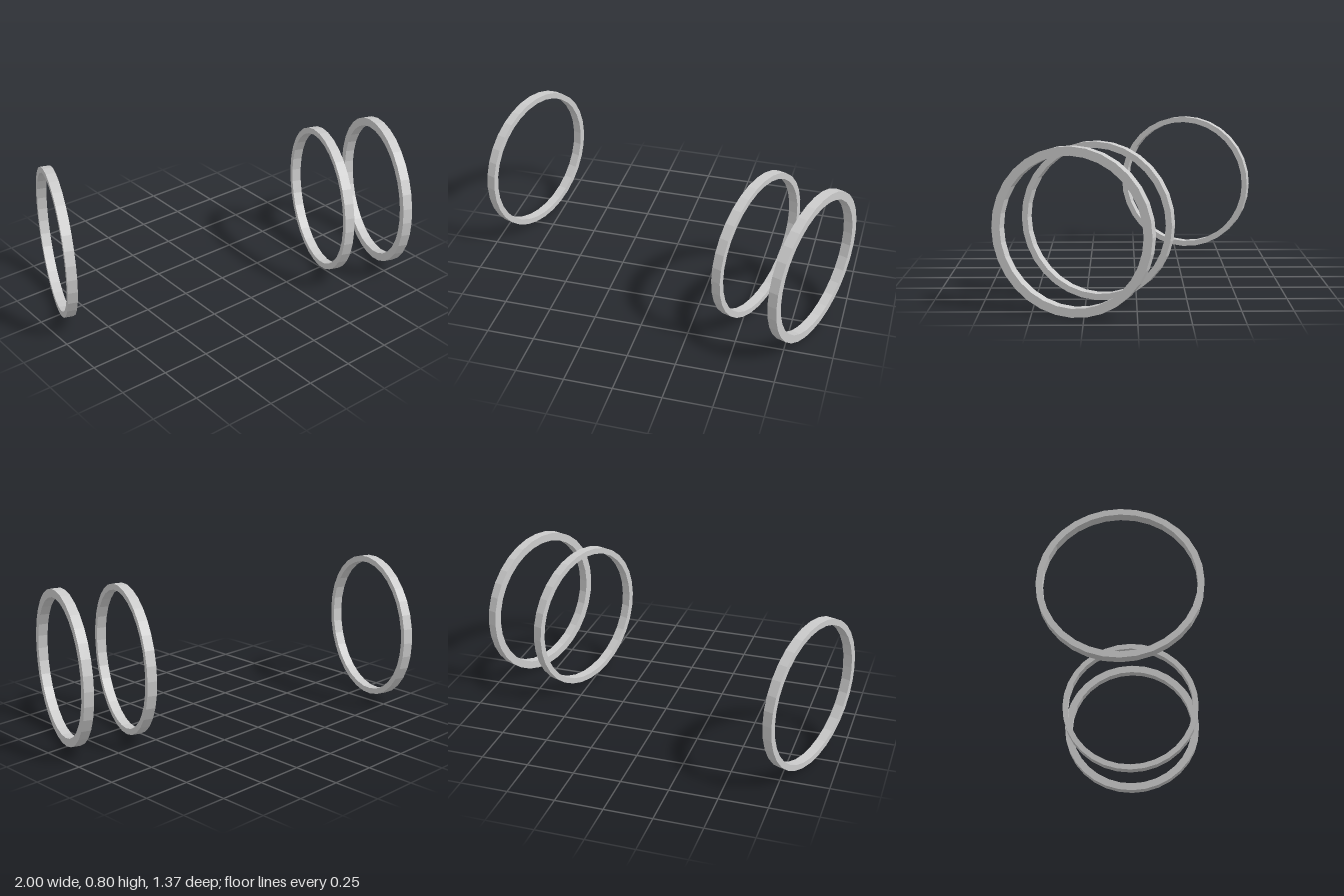
import * as THREE from 'three';

const material = new THREE.MeshStandardMaterial({ color: 0xcccccc, flatShading: true });
const SIDES = 32;

// Flat-sided band with a rectangular section, turning about the x axis
function makeRing(name, outer, inner, width, x, z) {
  const h = width / 2;
  const section = [[inner, -h], [outer, -h], [outer, h], [inner, h], [inner, -h]]
    .map(([r, y]) => new THREE.Vector2(r, y));
  const geometry = new THREE.LatheGeometry(section, SIDES);
  geometry.rotateZ(-Math.PI / 2);
  const ring = new THREE.Mesh(geometry, material);
  ring.name = name;
  ring.position.set(x, 0.403, z);
  ring.rotation.y = -THREE.MathUtils.degToRad(20);
  return ring;
}

export function createModel() {
  const group = new THREE.Group();
  group.name = 'rings';
  group.add(
    makeRing('rightRing', 0.392, 0.361, 0.05, -0.843, -0.308),
    makeRing('middleRing', 0.392, 0.361, 0.05, 0.535, 0.193),
    makeRing('leftRing', 0.402, 0.359, 0.05, 0.842, 0.303),
  );
  return group;
}
